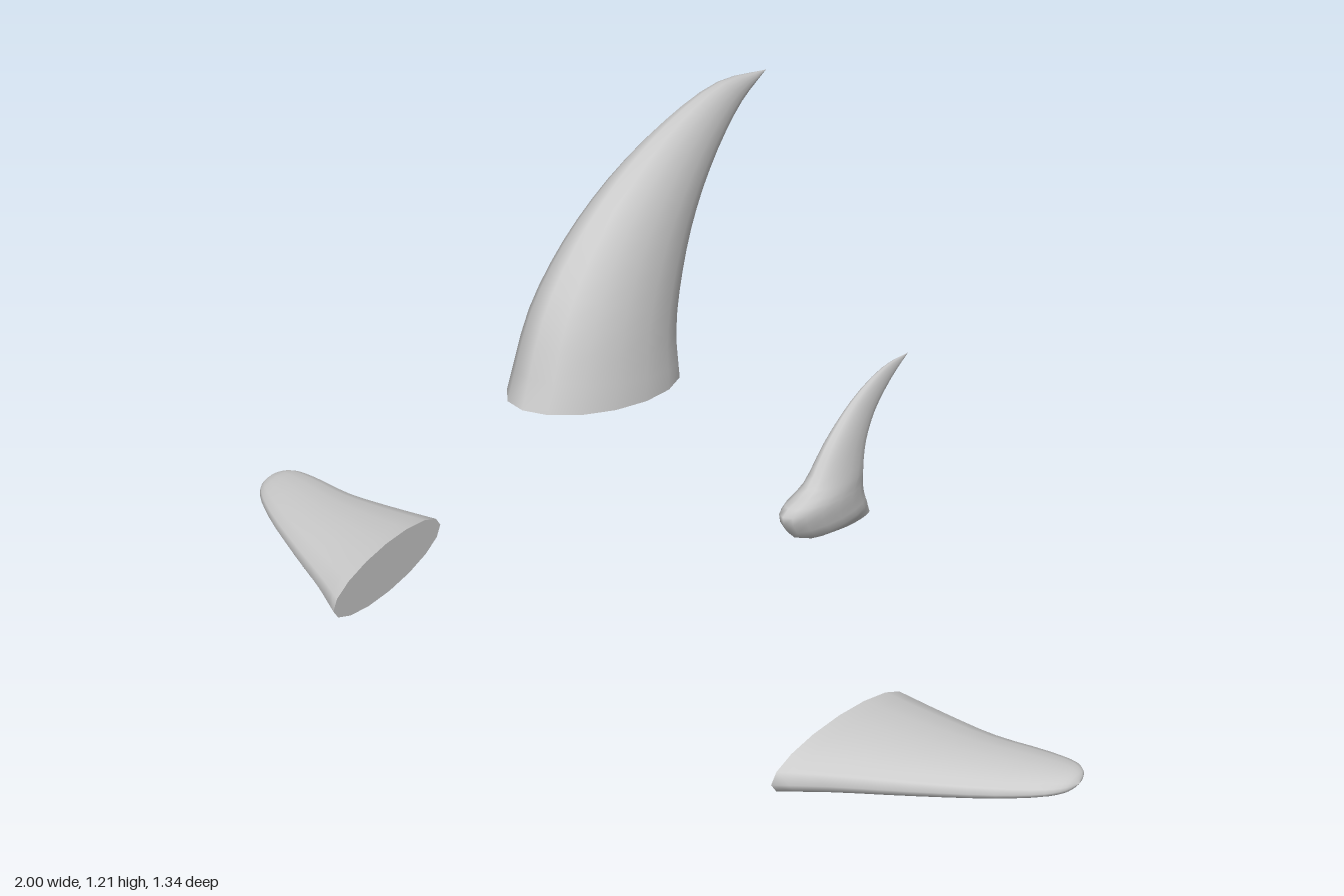
import * as THREE from 'three';

const SIDES = 16; // points around each elliptical cross-section
const STEPS = 3;  // rings between neighbouring sections

// Lofts a fin through sections [leadA, leadB, trailA, trailB, halfThickness];
// place(a, b, t) maps the fin's plane and thickness into space.
function fin(name, sections, place, capped) {
  const edge = (k) => new THREE.CatmullRomCurve3(
    sections.map((s) => new THREE.Vector3(s[k], s[k + 1], 0)), false, 'centripetal');
  const lead = edge(0), trail = edge(2);
  const rings = (sections.length - 1) * STEPS;
  const pos = [], index = [];

  for (let i = 0; i <= rings; i++) {
    const l = lead.getPoint(i / rings), r = trail.getPoint(i / rings);
    const k = Math.min(Math.floor(i / STEPS), sections.length - 2);
    const half = THREE.MathUtils.lerp(sections[k][4], sections[k + 1][4], i / STEPS - k);
    for (let j = 0; j < SIDES; j++) {
      const angle = (j / SIDES) * Math.PI * 2;
      const f = (1 + Math.cos(angle)) / 2;
      const p = place(r.x + (l.x - r.x) * f, r.y + (l.y - r.y) * f, half * Math.sin(angle));
      pos.push(p.x, p.y, p.z);
    }
  }
  for (let i = 0; i < rings; i++) {
    for (let j = 0; j < SIDES; j++) {
      const a = i * SIDES + j, b = i * SIDES + (j + 1) % SIDES;
      index.push(a, b, b + SIDES);
      if (i < rings - 1) index.push(a, b + SIDES, a + SIDES);
    }
  }
  // Flat root cap with its own vertices, so its rim stays sharp
  if (capped) {
    const start = pos.length / 3;
    pos.push(...pos.slice(0, SIDES * 3));
    for (let j = 1; j < SIDES - 1; j++) index.push(start, start + j + 1, start + j);
  }

  const geo = new THREE.BufferGeometry();
  geo.setAttribute('position', new THREE.Float32BufferAttribute(pos, 3));
  geo.setIndex(index);
  geo.computeVertexNormals();
  const mesh = new THREE.Mesh(geo, new THREE.MeshStandardMaterial({
    color: 0xcccccc,
    side: capped ? THREE.FrontSide : THREE.DoubleSide,
  }));
  mesh.name = name;
  return mesh;
}

export function createModel() {
  const group = new THREE.Group();
  group.name = 'finSet';
  const upright = (a, b, t) => new THREE.Vector3(t, b, a);

  // Large swept-back dorsal fin, open underneath
  group.add(fin('dorsalFin', [
    [0.67, 0.78, 0.23, 0.70, 0.123],
    [0.60, 0.94, 0.235, 0.787, 0.107],
    [0.50, 1.047, 0.205, 0.89, 0.088],
    [0.365, 1.13, 0.15, 0.993, 0.067],
    [0.20, 1.19, 0.065, 1.083, 0.042],
    [0.036, 1.213, -0.03, 1.15, 0.02],
    [-0.12, 1.184, -0.12, 1.184, 0],
  ], upright, false));

  // Small tail fin with a pointed, bulging foot
  group.add(fin('tailFin', [
    [-0.37, 0.02, -0.525, 0.0, 0.015],
    [-0.235, 0.07, -0.503, 0.04, 0.04],
    [-0.19, 0.14, -0.485, 0.085, 0.045],
    [-0.28, 0.165, -0.483, 0.13, 0.04],
    [-0.35, 0.235, -0.497, 0.19, 0.028],
    [-0.45, 0.30, -0.535, 0.245, 0.017],
    [-0.57, 0.332, -0.60, 0.292, 0.008],
    [-0.67, 0.325, -0.67, 0.325, 0],
  ], upright, true));

  // Mirrored pair of horizontal pectoral fins with rounded tips
  for (const s of [1, -1]) {
    group.add(fin(s > 0 ? 'leftPectoralFin' : 'rightPectoralFin', [
      [0.533, 0.63, 0.575, 0.238, 0.057],
      [0.62, 0.575, 0.685, 0.25, 0.048],
      [0.755, 0.50, 0.80, 0.257, 0.038],
      [0.89, 0.42, 0.91, 0.243, 0.028],
      [0.965, 0.363, 0.968, 0.244, 0.02],
      [0.99, 0.33, 0.99, 0.262, 0.012],
      [1.0, 0.297, 1.0, 0.297, 0],
    ], (a, b, t) => new THREE.Vector3(s * a, 0.135 - s * t, b), true));
  }
  return group;
}
